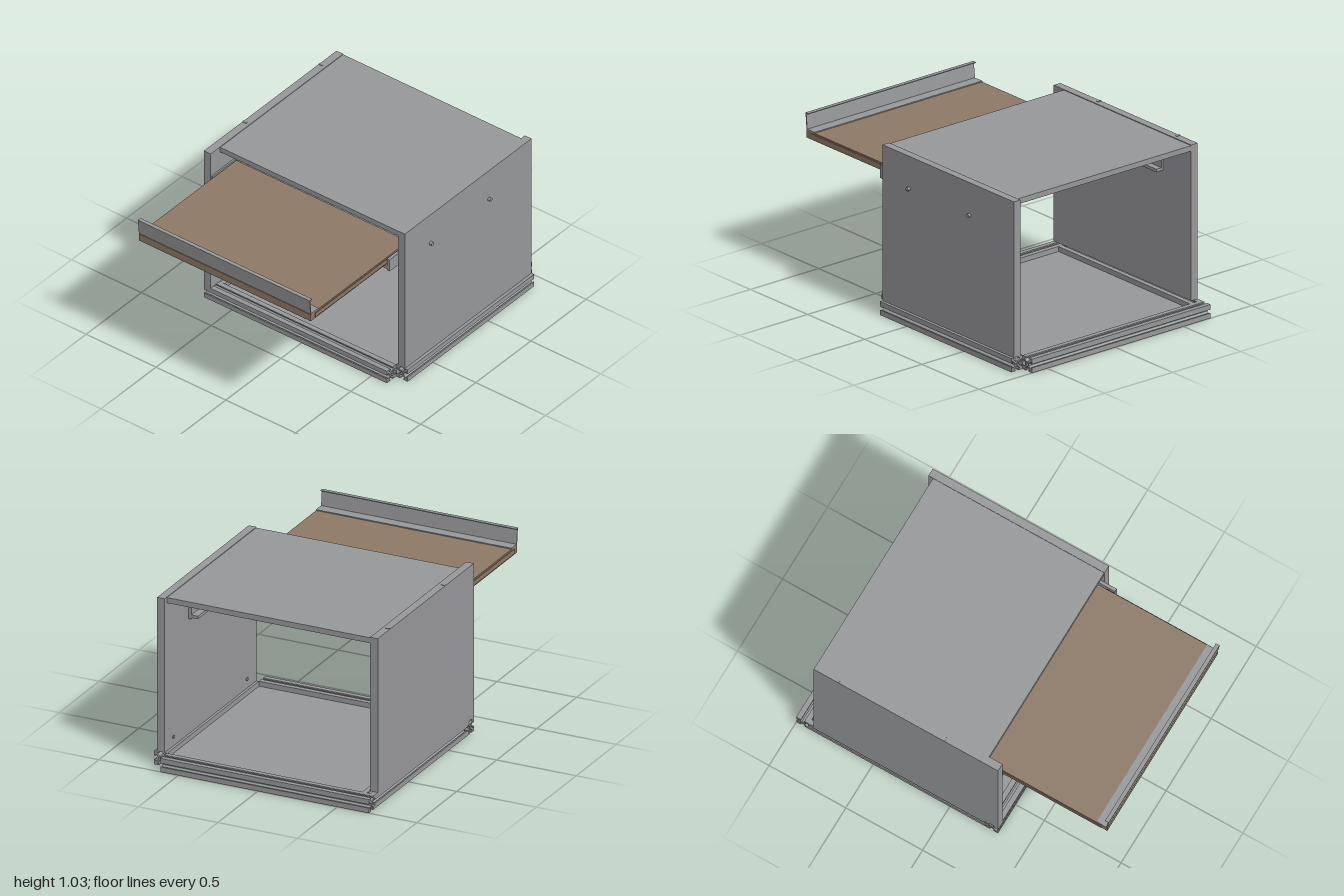
import * as THREE from 'three';

const grey = new THREE.MeshStandardMaterial({ color: 0x969799 });
grey.name = 'metalGrey';
const brown = new THREE.MeshStandardMaterial({ color: 0x8c7866 });
brown.name = 'woodBrown';

export function createModel() {
  const model = new THREE.Group();
  model.name = 'cabinetWithPullOutShelf';

  function add(geometry, material, name, parent = model) {
    const mesh = new THREE.Mesh(geometry, material);
    mesh.name = name;
    parent.add(mesh);
    return mesh;
  }
  // Box given by its limits on each axis
  function box(name, [x0, x1], [y0, y1], [z0, z1], material = grey, parent = model) {
    const mesh = add(new THREE.BoxGeometry(x1 - x0, y1 - y0, z1 - z0), material, name, parent);
    mesh.position.set((x0 + x1) / 2, (y0 + y1) / 2, (z0 + z1) / 2);
    return mesh;
  }
  // Short round pin lying along x
  function pin(name, x0, x1, y, z, r) {
    const g = new THREE.CylinderGeometry(r, r, x1 - x0, 16).rotateZ(Math.PI / 2);
    add(g, grey, name).position.set((x0 + x1) / 2, y, z);
  }

  // Slotted frame profile: one side repeated four times, with a centre bore
  const h = 0.0415;
  const side = [
    [h, -h], [h, -0.011], [0.0335, -0.011], [0.0335, -0.024], [0.013, -0.006],
    [0.013, 0.006], [0.0335, 0.024], [0.0335, 0.011], [h, 0.011],
  ];
  const points = [];
  for (let i = 0; i < 4; i++) {
    for (const [x, y] of side) {
      points.push(new THREE.Vector2(x, y).rotateAround(new THREE.Vector2(), i * Math.PI / 2));
    }
  }
  const profile = new THREE.Shape(points);
  profile.holes.push(new THREE.Path().absarc(0, 0, 0.006, 0, Math.PI * 2, true));

  // Base frame, laid pinwheel fashion
  function beam(name, length, x, z, alongX) {
    const g = new THREE.ExtrudeGeometry(profile, { depth: length, bevelEnabled: false, curveSegments: 6 });
    g.translate(0, 0, -length / 2);
    if (alongX) g.rotateY(Math.PI / 2);
    add(g, grey, name).position.set(x, h, z);
  }
  beam('frontBeam', 1.31, -0.043, 0.273, true);
  beam('backBeam', 1.31, -0.043, -0.9585, true);
  beam('leftBeam', 1.148, 0.6525, -0.343, false);
  beam('rightBeam', 1.148, -0.6565, -0.343, false);

  // Panels
  box('floorPanel', [-0.627, 0.623], [0.032, 0.051], [-0.929, 0.243]);
  box('leftPanel', [0.627, 0.675], [0.083, 1.024], [-0.917, 0.231]);
  box('rightPanel', [-0.698, -0.65], [0.083, 1.024], [-0.887, 0.315]);
  box('topPanel', [-0.65, 0.627], [0.987, 1.02], [-0.887, 0.228]);

  // Fastener pins
  for (const z of [0, -0.53]) pin('outerPin', 0.67, 0.692, 0.828, z, 0.011);
  for (const z of [0.11, -0.81]) pin('innerPin', 0.621, 0.63, 0.14, z, 0.01);
  for (const z of [-0.04, -0.73]) {
    box('topClip', [-0.698, -0.672], [1.02, 1.027], [z - 0.006, z + 0.006]);
  }

  // Slide rails with support ledges
  box('leftRail', [0.609, 0.628], [0.788, 0.868], [-0.62, 0.31]);
  box('leftLedge', [0.567, 0.609], [0.797, 0.815], [-0.62, 0.31]);
  box('rightRail', [-0.651, -0.64], [0.797, 0.868], [-0.64, 0.31]);
  box('rightLedge', [-0.64, -0.602], [0.797, 0.815], [-0.64, 0.31]);

  // Pull-out shelf: board on an edge frame, open below
  const shelf = new THREE.Group();
  shelf.name = 'shelf';
  model.add(shelf);
  const xs = [-0.632, 0.598], zs = [0.105, 0.988], low = 0.82, top = 0.866, w = 0.05;
  box('shelfBoard', xs, [0.842, top], zs, brown, shelf);
  box('shelfFrontRail', xs, [low, 0.842], [zs[1] - w, zs[1]], brown, shelf);
  box('shelfBackRail', xs, [low, 0.842], [zs[0], zs[0] + w], brown, shelf);
  for (const x of [xs[0], xs[1] - w]) {
    box('shelfSideRail', [x, x + w], [low, 0.842], [zs[0] + w, zs[1] - w], brown, shelf);
  }
  for (const x of [xs[0] - 0.005, xs[1]]) {
    box('shelfRunner', [x, x + 0.005], [0.829, 0.857], [0.26, 0.95], brown, shelf);
  }

  // Bent metal lip: flat flange, leaning upright and small hook on top
  const lip = new THREE.Shape([
    [0.918, 0.866], [0.982, 0.866], [0.988, 0.87], [0.998, 0.968], [0.974, 0.968],
    [0.974, 0.963], [0.992, 0.963], [0.982, 0.872], [0.918, 0.872],
  ].map(([z, y]) => new THREE.Vector2(-z, y)));
  const lipGeometry = new THREE.ExtrudeGeometry(lip, { depth: xs[1] - xs[0], bevelEnabled: false });
  lipGeometry.rotateY(Math.PI / 2).translate(xs[0], 0, 0);
  add(lipGeometry, grey, 'shelfLip', shelf);

  return model;
}
